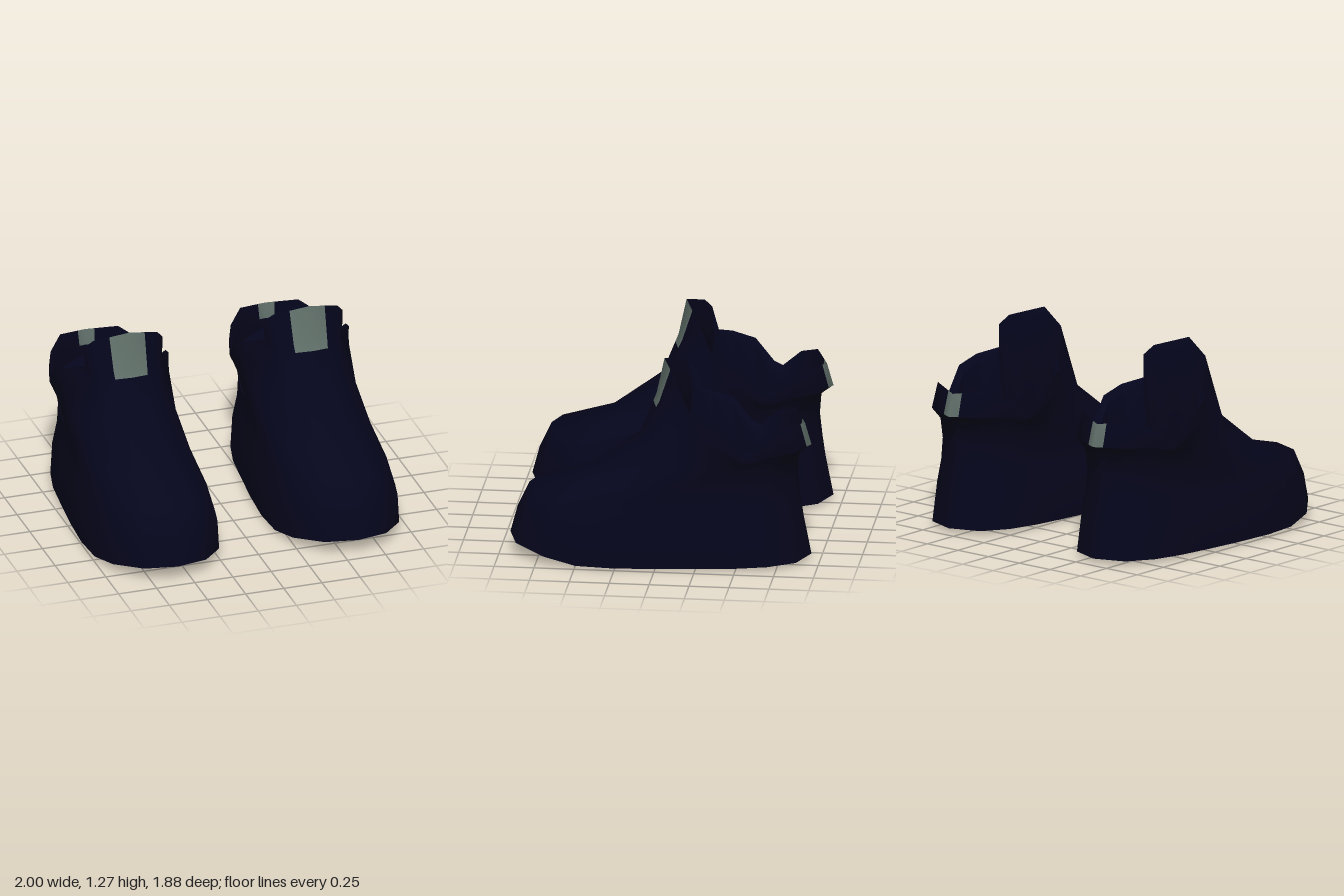
import * as THREE from 'three';
import { toCreasedNormals } from 'three/addons/utils/BufferGeometryUtils.js';

const navy = new THREE.MeshStandardMaterial({ color: 0x05051c });
navy.name = 'navy fabric';
const grey = new THREE.MeshStandardMaterial({ color: 0x606f69 });
grey.name = 'grey patch';

const lerp = THREE.MathUtils.lerp;
const mix = (a, b, t) => a.map((v, i) => lerp(v, b[i], t));
const mixRow = (a, b, t) => a.map((p, i) => mix(p, b[i], t));

// Plan outline from toe to heel: width factor and position along the shoe
const WIDTH = [0, 0.49, 0.85, 0.97, 1, 0.96, 0.89, 0.83, 0.72, 0.48, 0];
const ALONG = [0, 0.03, 0.13, 0.24, 0.36, 0.5, 0.65, 0.77, 0.87, 0.96, 1];

// Half ring of the foot: toe z/y, side half-width/y, heel z/y
function footRow(zf, yf, w, ys, zb, yb) {
  return ALONG.map((t, k) => [
    w * WIDTH[k],
    ys + (yf - ys) * Math.max(0, 1 - t / 0.25) + (yb - ys) * Math.max(0, (t - 0.6) / 0.4),
    lerp(zf, zb, t),
  ]);
}

// Ankle ring and collar edge, tongue to heel
const ankle = [
  [0, 1.04, 0.03], [0.2, 1.02, -0.03], [0.235, 1, -0.09], [0.25, 0.95, -0.16],
  [0.335, 0.89, -0.26], [0.365, 0.83, -0.39], [0.345, 0.72, -0.53], [0.332, 0.71, -0.6],
  [0.3, 0.75, -0.71], [0.205, 0.75, -0.86], [0, 0.74, -0.94],
];
const collar = [
  [0, 1.27, -0.02], [0.21, 1.2, -0.11], [0.26, 1.14, -0.15], [0.24, 1, -0.175],
  [0.34, 0.96, -0.27], [0.365, 0.91, -0.41], [0.345, 0.77, -0.53], [0.33, 0.75, -0.585],
  [0.29, 0.86, -0.705], [0.19, 0.91, -0.82], [0, 0.88, -0.9],
];
// Lip just inside the collar, then a foot bed sloping down towards the toe
const lip = collar.map(([x, y, z], k) => {
  if (k < 3) return [x * 0.85, 0.98, -0.17];
  return [x * 0.88, y - (k > 7 ? 0.1 : 0.04), -0.5 + (z + 0.5) * (k > 8 ? 0.96 : 0.89)];
});
const bedHeight = (z) => 0.37 - 0.4 * z;
const bed = lip.map(([x, , z], k) => {
  const zBed = k < 5 ? z + 0.06 : z;
  return [x * 0.98, bedHeight(zBed), zBed];
});

const instep = footRow(0.13, 0.79, 0.342, 0.64, -0.865, 0.69);
const rows = [
  footRow(0.945, 0.1, 0.41, 0.015, -0.94, 0.025),
  footRow(0.9, 0.27, 0.41, 0.2, -0.89, 0.28),
  footRow(0.825, 0.43, 0.37, 0.37, -0.87, 0.42),
  footRow(0.49, 0.52, 0.345, 0.5, -0.855, 0.56),
  instep,
  mixRow(instep, ankle, 0.8),
  ankle,
  collar,
  lip,
  bed,
].map(closeRing);

// Add the patch-edge columns, then mirror the half ring into a full loop
function closeRing(half) {
  const n = half.length;
  const h = [
    half[0], mix(half[0], half[1], 0.55), ...half.slice(1, n - 1),
    mix(half[n - 1], half[n - 2], 0.29), half[n - 1],
  ];
  const mirrored = h.slice(1, -1).reverse().map(([x, y, z]) => [-x, y, z]);
  return [...h, ...mirrored];
}

function indexedGeometry(points, index) {
  const g = new THREE.BufferGeometry();
  g.setAttribute('position', new THREE.Float32BufferAttribute(points.flat(), 3));
  g.setIndex(index);
  return g;
}

// Upper with lining; the tongue and heel patches are face groups
function upperGeometry() {
  const n = rows[0].length;
  const plain = [], patch = [];
  for (let r = 0; r < rows.length - 1; r++) {
    for (let k = 0; k < n; k++) {
      const k2 = (k + 1) % n;
      const a = r * n + k, b = r * n + k2, c = b + n, d = a + n;
      const onTongue = (k === 0 || k === n - 1) && (r === 5 || r === 6);
      const onHeel = (k === n / 2 || k === n / 2 - 1) && (r === 6 || r === 7);
      const target = onTongue || onHeel ? patch : plain;
      // mirror the diagonal so both halves match
      if (k < n / 2) target.push(a, b, c, a, c, d);
      else target.push(a, b, d, b, c, d);
    }
  }
  const g = indexedGeometry(rows.flat(), [...plain, ...patch]);
  g.addGroup(0, plain.length, 0);
  g.addGroup(plain.length, patch.length, 1);
  return toCreasedNormals(g, 1);
}

// Flat fan closing a ring
function capGeometry(ring, centre, up) {
  const n = ring.length;
  const index = [];
  for (let k = 0; k < n; k++) {
    const k2 = (k + 1) % n;
    index.push(...(up ? [k, k2, n] : [k2, k, n]));
  }
  return toCreasedNormals(indexedGeometry([...ring, centre], index), 1);
}

export function createModel() {
  const model = new THREE.Group();
  model.name = 'pairOfShoes';
  const parts = [
    ['upper', upperGeometry(), [navy, grey]],
    ['sole', capGeometry(rows[0], [0, 0, 0.42], false), navy],
    ['footBed', capGeometry(rows[rows.length - 1], [0, bedHeight(-0.5), -0.5], true), navy],
  ];
  for (const side of [1, -1]) {
    const shoe = new THREE.Group();
    shoe.name = side > 0 ? 'leftShoe' : 'rightShoe';
    for (const [name, geometry, material] of parts) {
      const mesh = new THREE.Mesh(geometry, material);
      mesh.name = name;
      shoe.add(mesh);
    }
    shoe.position.x = side * 0.59;
    model.add(shoe);
  }
  return model;
}
